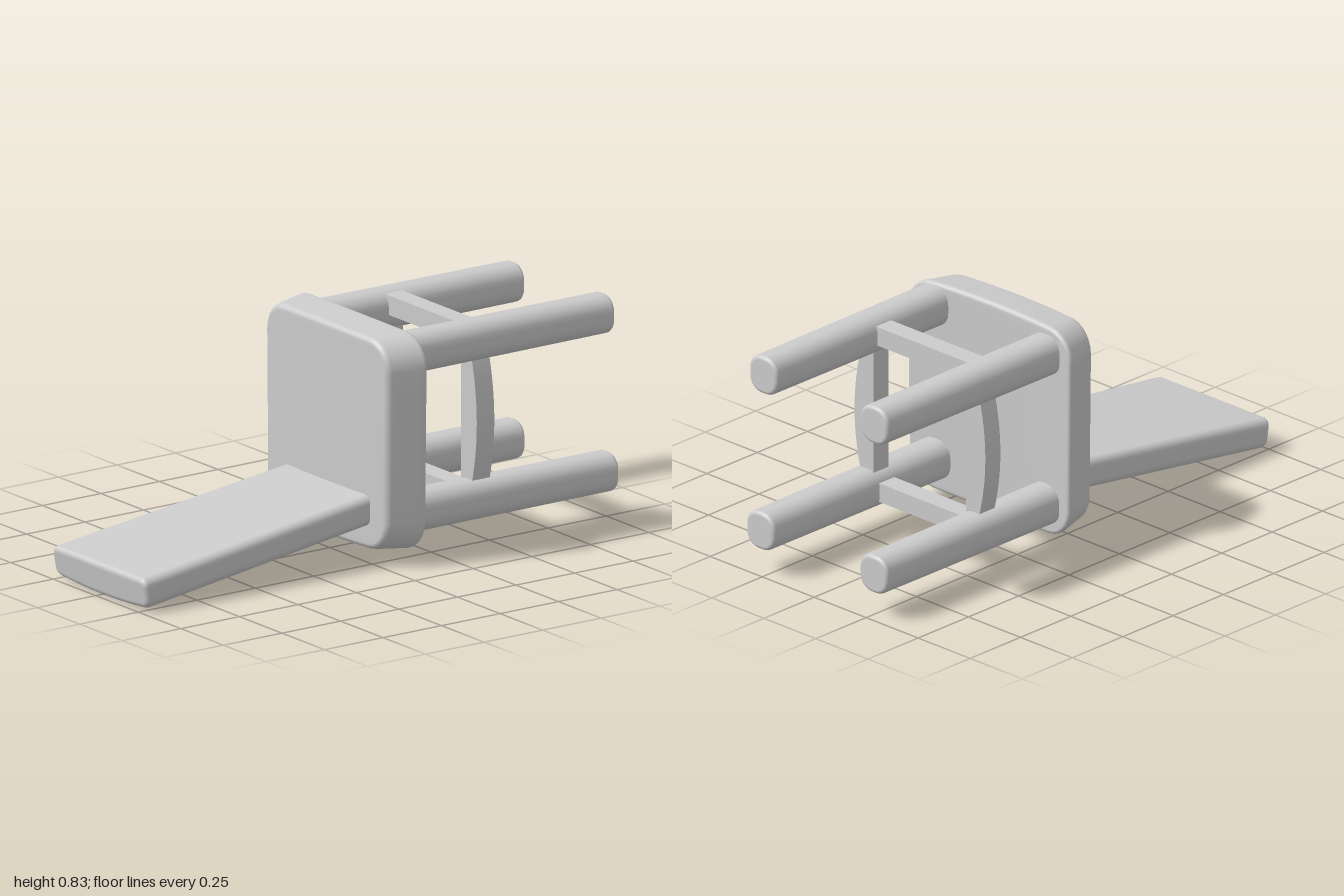
import * as THREE from 'three';

// Rounded-rectangle slab lofted along z with rounded rims; warp(v, t) reshapes each point, t = 0..1 along z
function slab(hw, hh, r, z0, z1, bevel, warp) {
  const rings = [];
  const add = (z, inset, scale = 1) => rings.push({ z, inset, scale });
  const steps = 5;
  for (const s of [0.35, 0.7, 0.95]) add(z0, bevel, s);
  for (let i = 0; i <= steps; i++) {
    const a = (i / steps) * Math.PI / 2;
    add(z0 + bevel * (1 - Math.cos(a)), bevel * (1 - Math.sin(a)));
  }
  for (let i = 1; i < 6; i++) add(z0 + bevel + (z1 - z0 - 2 * bevel) * i / 6, 0);
  for (let i = steps; i >= 0; i--) {
    const a = (i / steps) * Math.PI / 2;
    add(z1 - bevel * (1 - Math.cos(a)), bevel * (1 - Math.sin(a)));
  }
  for (const s of [0.95, 0.7, 0.35]) add(z1, bevel, s);

  // Outline: four corner arcs plus points along each straight edge
  const outline = [];
  const signs = [[1, 1], [-1, 1], [-1, -1], [1, -1]];
  signs.forEach(([sx, sy], q) => {
    for (let i = 0; i <= 6; i++) {
      const a = (q + i / 6) * Math.PI / 2;
      outline.push({ cx: sx * (hw - r), cy: sy * (hh - r), nx: Math.cos(a), ny: Math.sin(a) });
    }
    const [tx, ty] = signs[(q + 1) % 4];
    const last = outline[outline.length - 1];
    for (let i = 1; i < 6; i++) {
      outline.push({
        cx: THREE.MathUtils.lerp(sx, tx, i / 6) * (hw - r),
        cy: THREE.MathUtils.lerp(sy, ty, i / 6) * (hh - r),
        nx: last.nx, ny: last.ny
      });
    }
  });

  const pos = [], index = [], n = outline.length, v = new THREE.Vector3();
  const push = (x, y, z) => {
    v.set(x, y, z);
    warp(v, (z - z0) / (z1 - z0));
    pos.push(v.x, v.y, v.z);
  };
  for (const k of rings) {
    for (const p of outline) {
      push((p.cx + p.nx * (r - k.inset)) * k.scale, (p.cy + p.ny * (r - k.inset)) * k.scale, k.z);
    }
  }
  push(0, 0, z0);
  push(0, 0, z1);
  const c0 = rings.length * n, top = (rings.length - 1) * n;
  for (let i = 0; i < n; i++) {
    const j = (i + 1) % n;
    for (let k = 0; k < rings.length - 1; k++) {
      const a = k * n, b = a + n;
      index.push(a + i, a + j, b + j, a + i, b + j, b + i);
    }
    index.push(c0, j, i, c0 + 1, top + i, top + j);
  }
  const g = new THREE.BufferGeometry();
  g.setAttribute('position', new THREE.Float32BufferAttribute(pos, 3));
  g.setIndex(index);
  g.computeVertexNormals();
  return g;
}

export function createModel() {
  const group = new THREE.Group();
  const material = new THREE.MeshStandardMaterial({ color: 0xcccccc });
  const add = (name, geometry, x = 0, y = 0, z = 0) => {
    const mesh = new THREE.Mesh(geometry, material);
    mesh.name = name;
    mesh.position.set(x, y, z);
    group.add(mesh);
  };

  // Seat: upright slab, flaring towards its underside, gently crowned
  add('seat', slab(0.393, 0.397, 0.11, -0.121, 0.026, 0.018, (v, t) => {
    const bow = 1 - 0.15 * v.x * v.x;
    v.x *= (1 - 0.1 * t) * (1 + 0.035 * v.y);
    v.y *= (1 - 0.035 * t) * bow;
    v.z -= 0.09 * v.x * v.x;
  }), 0, 0.44, 0);

  // Backrest: sloping board, slightly wider at its free end, bowed underneath
  add('backrest', slab(0.267, 0.061, 0.03, -0.03, 1, 0.018, (v, t) => {
    v.x *= 0.95 + 0.08 * t;
    if (v.y < 0) v.y += 0.2 * v.x * v.x;
    v.z += 0.17 * (v.y - 0.06) * t;
    v.y += 0.2 - 0.139 * t;
  }), 0.01, 0, 0);

  // Legs: [name, x, y, end z]
  const legs = [
    ['upperLeftLeg', 0.272, 0.748, -0.975],
    ['upperRightLeg', -0.27, 0.73, -0.985],
    ['lowerLeftLeg', 0.262, 0.172, -1],
    ['lowerRightLeg', -0.268, 0.166, -0.985]
  ];
  for (const [name, x, y, end] of legs) {
    add(name, slab(0.07, 0.073, 0.058, end, -0.09, 0.014, (v, t) => {
      v.x *= 0.96 + 0.04 * t;
      v.y *= 0.96 + 0.04 * t;
    }), x, y, 0);
  }

  // Side stretchers: straight inside, bowed outside
  for (const s of [1, -1]) {
    const bar = new THREE.BoxGeometry(0.055, 0.5, 0.075, 1, 16, 1);
    const p = bar.attributes.position;
    for (let i = 0; i < p.count; i++) {
      const t = p.getY(i) / 0.25;
      if (s * p.getX(i) > 0) p.setX(i, p.getX(i) + s * 0.037 * (1 - t * t));
    }
    bar.computeVertexNormals();
    add(s > 0 ? 'leftStretcher' : 'rightStretcher', bar, s * 0.25, 0.455, -0.437);
  }

  // Cross stretchers: straight bars
  add('upperStretcher', new THREE.BoxGeometry(0.45, 0.07, 0.075), -0.012, 0.758, -0.437);
  add('lowerStretcher', new THREE.BoxGeometry(0.45, 0.07, 0.075), -0.012, 0.17, -0.437);

  return group;
}
